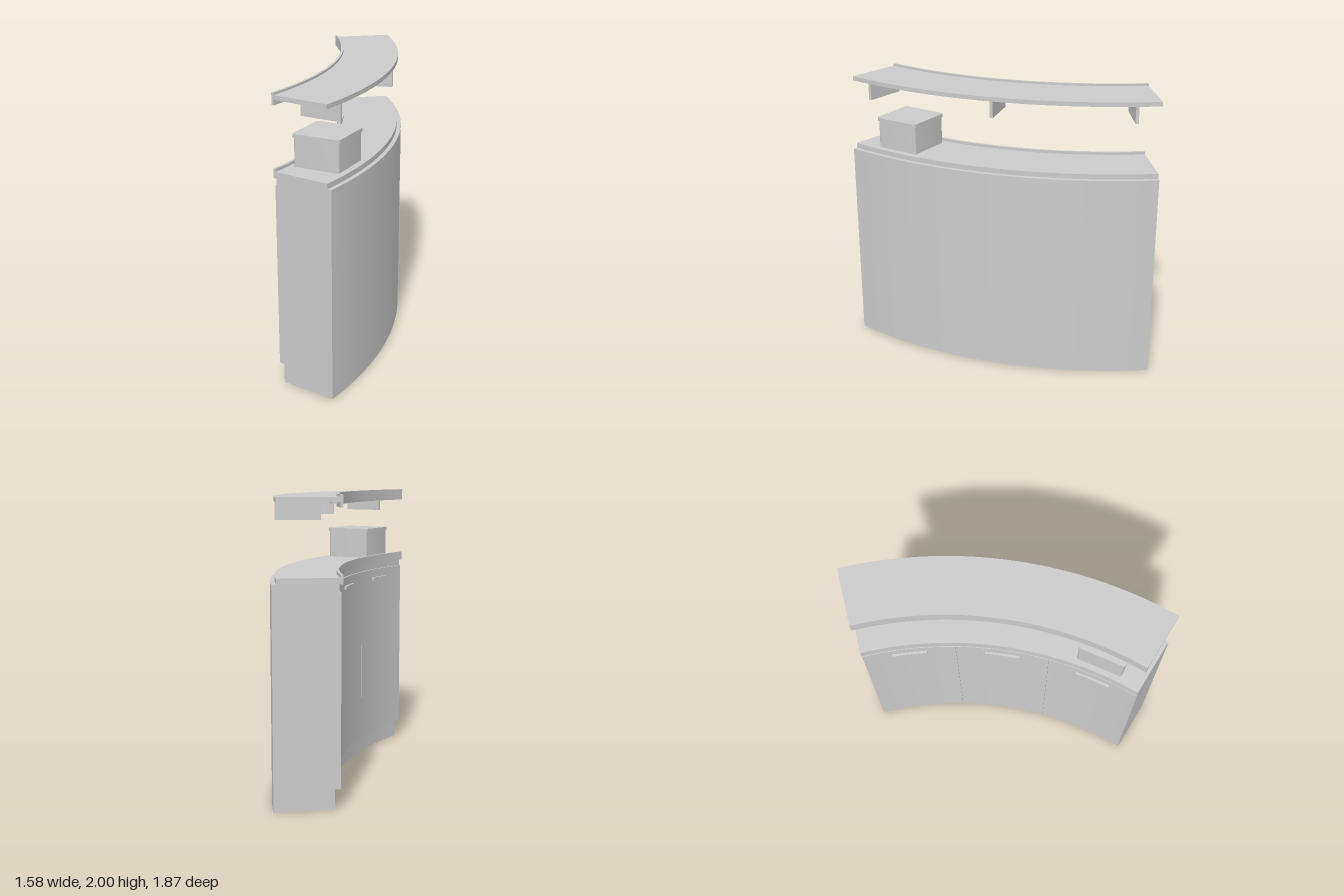
import * as THREE from 'three';
import { toCreasedNormals } from 'three/addons/utils/BufferGeometryUtils.js';

const rad = THREE.MathUtils.degToRad;
const START = 14.8, END = 60.8; // sweep of the counter in degrees, from +x towards +z
const material = new THREE.MeshStandardMaterial({ color: 0xcccccc });

export function createModel() {
  const model = new THREE.Group();
  model.name = 'curvedCounter';
  // everything is laid out around the centre of the arc
  model.position.set(-1.959, 0, -1.541);

  const add = (name, geometry, parent = model) => {
    const mesh = new THREE.Mesh(geometry, material);
    mesh.name = name;
    parent.add(mesh);
    return mesh;
  };

  // upright prism of a plan outline between two heights
  const prism = (shape, y0, y1, segments) => {
    const g = new THREE.ExtrudeGeometry(shape, { depth: y1 - y0, bevelEnabled: false, curveSegments: segments });
    g.rotateX(Math.PI / 2).translate(0, y1, 0);
    return toCreasedNormals(g, rad(30));
  };

  // ring sector between two radii
  const sector = (name, r0, r1, y0, y1, a0 = START, a1 = END) => {
    const shape = new THREE.Shape();
    shape.absarc(0, 0, r1, rad(a0), rad(a1), false);
    shape.absarc(0, 0, r0, rad(a1), rad(a0), true);
    shape.closePath();
    return add(name, prism(shape, y0, y1, Math.max(6, Math.round(a1 - a0))));
  };

  // square plan with rounded corners
  const roundedSquare = (h, r) => {
    const s = new THREE.Shape();
    [[1, 1], [-1, 1], [-1, -1], [1, -1]].forEach(([x, y], i) =>
      s.absarc(x * (h - r), y * (h - r), r, i * Math.PI / 2, (i + 1) * Math.PI / 2, false));
    s.closePath();
    return s;
  };

  // group turned so its x axis points outward at an angle
  const place = (object, radius, angle) => {
    object.position.x = radius * Math.cos(rad(angle));
    object.position.z = radius * Math.sin(rad(angle));
    object.rotation.y = -rad(angle);
    return object;
  };

  // base and cabinet
  sector('plinth', 2.445, 2.84, 0, 0.135);
  sector('cabinet', 2.418, 2.84, 0.135, 1.455);

  // doors with handles on the inner side
  const step = (END - START) / 3;
  for (let i = 0; i < 3; i++) {
    const a = START + i * step, gap = 0.05;
    sector('door', 2.406, 2.418, 0.137, 1.4, a + gap, a + step - gap);
    const mid = a + step / 2;
    sector('doorHandle', 2.39, 2.407, 1.318, 1.34, mid - 2.9, mid + 2.9);
  }

  // worktop and upper shelf, each with a raised inner lip
  sector('worktop', 2.41, 2.81, 1.455, 1.49);
  sector('worktopLip', 2.394, 2.412, 1.447, 1.51);
  sector('shelf', 2.41, 2.81, 1.955, 1.985);
  sector('shelfLip', 2.394, 2.412, 1.92, 2);
  sector('shelfStrip', 2.425, 2.455, 1.942, 1.955, 15.6, 60);

  // radial brackets under the shelf
  for (const angle of [18.1, 37.8, 57.5]) {
    const bracket = place(add('shelfBracket', new THREE.BoxGeometry(0.29, 0.115, 0.022)), 2.662, angle);
    bracket.position.y = 1.8975;
  }

  // box with a lid standing on the worktop
  const box = place(new THREE.Group(), 2.602, 53.5);
  box.name = 'counterBox';
  model.add(box);
  add('boxBody', prism(roundedSquare(0.162, 0.015), 1.49, 1.685, 6), box);
  add('boxLid', prism(roundedSquare(0.17, 0.022), 1.685, 1.71, 6), box);

  const root = new THREE.Group();
  root.name = 'counter';
  root.add(model);
  return root;
}
